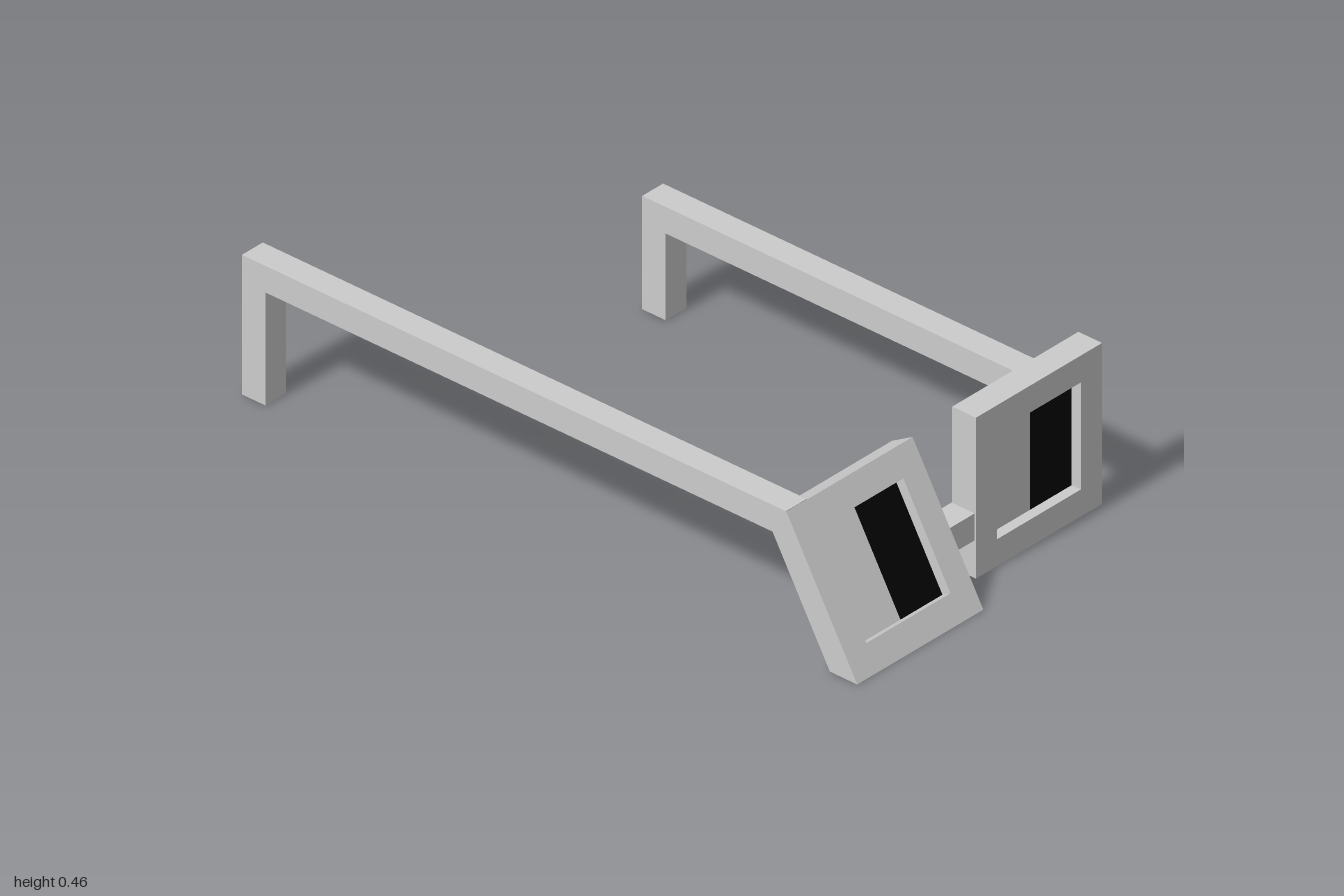
import * as THREE from 'three';

const SIZE = 0.46, DEPTH = 0.077, BORDER = 0.077, RECESS = 0.03;

const grey = new THREE.MeshStandardMaterial({ color: 0xcccccc, flatShading: true });
const black = new THREE.MeshStandardMaterial({ color: 0x030303, flatShading: true });

// Box given by its lower and upper corners
function boxGeometry(x0, x1, y0, y1, z0, z1) {
  return new THREE.BoxGeometry(x1 - x0, y1 - y0, z1 - z0)
    .translate((x0 + x1) / 2, (y0 + y1) / 2, (z0 + z1) / 2);
}

function addMesh(parent, name, geometry, material = grey) {
  const mesh = new THREE.Mesh(geometry, material);
  mesh.name = name;
  parent.add(mesh);
}

function rectangle(path, x0, x1, y0, y1) {
  path.moveTo(x0, y0);
  path.lineTo(x1, y0);
  path.lineTo(x1, y1);
  path.lineTo(x0, y1);
  path.closePath();
  return path;
}

// Square rim with a recessed two-tone lens, leaning back by tilt,
// with the part below the ground cut off along the slope
function lensPanel(name, x, z, tilt) {
  const group = new THREE.Group();
  group.name = name;
  const a = BORDER, b = SIZE - BORDER, mid = SIZE / 2;
  const shape = rectangle(new THREE.Shape(), 0, SIZE, 0, SIZE);
  shape.holes.push(rectangle(new THREE.Path(), a, b, a, b));
  const rim = new THREE.ExtrudeGeometry(shape, { depth: DEPTH, bevelEnabled: false })
    .translate(0, 0, -DEPTH);

  const place = (geometry) => {
    geometry.rotateX(-tilt);
    const p = geometry.attributes.position;
    for (let i = 0; i < p.count; i++) {
      const y = p.getY(i);
      if (y < 0) p.setXYZ(i, p.getX(i), 0, p.getZ(i) + y * Math.tan(tilt));
    }
    geometry.computeVertexNormals();
    return geometry.translate(x, 0, z);
  };

  addMesh(group, 'rim', place(rim));
  addMesh(group, 'lightLensHalf', place(boxGeometry(a, mid, a, b, -DEPTH, -RECESS)));
  addMesh(group, 'darkLensHalf', place(boxGeometry(mid, b, a, b, -DEPTH, -RECESS)), black);
  return group;
}

// Long temple arm with a square leg dropping at its back end
function templeArm(name, x0, x1, top, front, back) {
  const t = 0.076;
  const profile = new THREE.Shape([
    [front, top], [back, top], [back, 0], [back + t, 0], [back + t, top - t], [front, top - t],
  ].map(([z, y]) => new THREE.Vector2(-z, y)));
  const geometry = new THREE.ExtrudeGeometry(profile, { depth: x1 - x0, bevelEnabled: false })
    .rotateY(Math.PI / 2).translate(x0, 0, 0);
  const mesh = new THREE.Mesh(geometry, grey);
  mesh.name = name;
  return mesh;
}

export function createModel() {
  const model = new THREE.Group();
  model.name = 'crookedGlasses';

  // Lens panels: the right one leans back, the left one is upright
  model.add(lensPanel('rightLensPanel', -0.508, 1, Math.PI / 6));
  model.add(lensPanel('leftLensPanel', 0.046, 0.892, 0));

  // Bridge between the panels
  addMesh(model, 'bridge', boxGeometry(-0.06, 0.05, 0.108, 0.185, 0.813, 0.888));

  // Temple arms
  model.add(templeArm('rightArm', -0.508, -0.432, 0.399, 0.768, -1));
  model.add(templeArm('leftArm', 0.43, 0.506, 0.324, 0.82, -0.535));
  return model;
}
